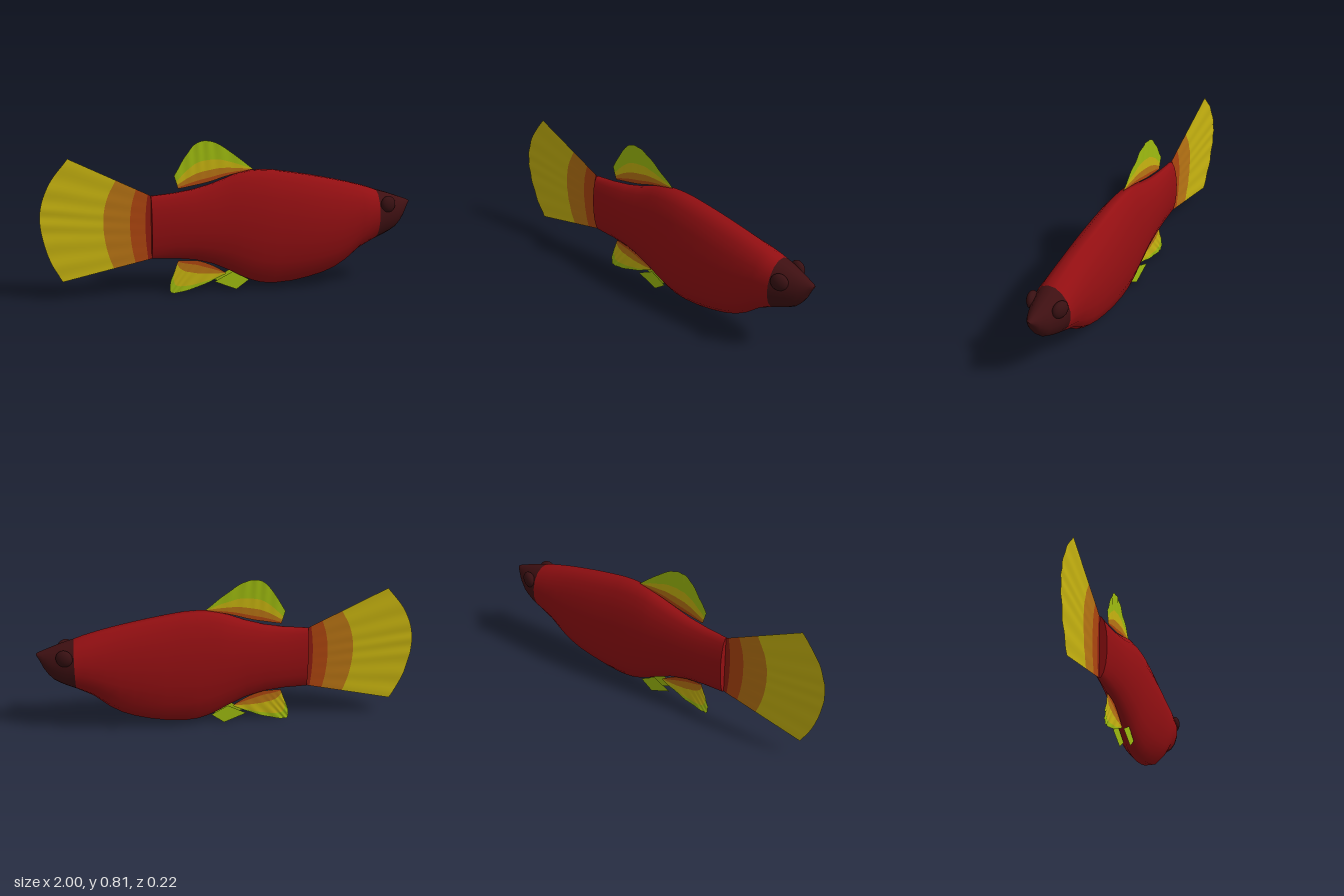
import * as THREE from 'three';

const paint = (name, color, side = THREE.FrontSide) => {
  const m = new THREE.MeshStandardMaterial({ color, side });
  m.name = name;
  return m;
};

const SIDES = 16;

// Closed oval rings [x, top, bottom, halfWidth] joined along x
function loft(rings) {
  const pos = [], idx = [];
  rings.forEach(([x, top, bottom, w], i) => {
    for (let j = 0; j < SIDES; j++) {
      const a = ((j + 0.5) / SIDES) * Math.PI * 2;
      pos.push(x, (top + bottom) / 2 + ((top - bottom) / 2) * Math.cos(a) / 0.98, w * Math.sin(a));
      if (i === rings.length - 1) continue;
      const k = (j + 1) % SIDES, p = i * SIDES, q = p + SIDES;
      idx.push(p + j, p + k, q + j, p + k, q + k, q + j);
    }
  });
  const g = new THREE.BufferGeometry();
  g.setAttribute('position', new THREE.Float32BufferAttribute(pos, 3));
  g.setIndex(idx);
  g.computeVertexNormals();
  return g;
}

// Flat oval that closes a ring, facing along dir on x
function capFor([x, top, bottom, w], dir) {
  const g = new THREE.CircleGeometry(1, SIDES, Math.PI / SIDES);
  g.rotateY(dir * Math.PI / 2);
  g.scale(1, (top - bottom) / 2 / 0.98, w);
  g.translate(x, (top + bottom) / 2, 0);
  return g;
}

// Thin rippled sheet between a root curve and a tip curve, from fraction f0 to f1
function finBand(root, tip, f0, f1) {
  const curve = pts => new THREE.CatmullRomCurve3(pts.map(p => new THREE.Vector3(p[0], p[1], 0)));
  const r = curve(root), t = curve(tip), U = 36, V = 4;
  const g = new THREE.PlaneGeometry(1, 1, U, V);
  const p = g.attributes.position, v = new THREE.Vector3();
  for (let i = 0; i < p.count; i++) {
    const u = p.getX(i) + 0.5, f = f0 + (f1 - f0) * (p.getY(i) + 0.5);
    v.lerpVectors(r.getPoint(u), t.getPoint(u), f);
    p.setXYZ(i, v.x, v.y, 0.002 * f * Math.sin(u * Math.PI * 12));
  }
  g.computeVertexNormals();
  return g;
}

export function createModel() {
  const fish = new THREE.Group();
  fish.name = 'fish';
  const red = paint('body red', 0x930f12);
  const dark = paint('head dark maroon', 0x3f1012);
  const eyeDark = paint('eye dark', 0x381012);
  const D = THREE.DoubleSide;
  const crimson = paint('fin crimson', 0x8e1c10, D);
  const rust = paint('fin rust', 0xae460f, D);
  const orange = paint('fin orange', 0xb87414, D);
  const yellow = paint('fin yellow', 0xc8b410, D);
  const green = paint('fin green', 0x9fbc10, D);

  const add = (name, geo, mat, parent = fish) => {
    const m = new THREE.Mesh(geo, mat);
    m.name = name;
    parent.add(m);
    return m;
  };

  // Body
  const body = [
    [-0.43, 0.533, 0.2, 0.04], [-0.31, 0.543, 0.196, 0.053], [-0.2, 0.56, 0.183, 0.065],
    [-0.1, 0.587, 0.155, 0.075], [0, 0.624, 0.108, 0.085], [0.05, 0.64, 0.08, 0.09],
    [0.1, 0.648, 0.057, 0.095], [0.16, 0.65, 0.038, 0.101], [0.23, 0.646, 0.031, 0.106],
    [0.33, 0.63, 0.037, 0.112], [0.42, 0.614, 0.053, 0.114], [0.5, 0.598, 0.073, 0.113],
    [0.57, 0.583, 0.1, 0.111], [0.635, 0.568, 0.14, 0.108], [0.71, 0.548, 0.203, 0.106],
    [0.76, 0.533, 0.23, 0.104], [0.8, 0.518, 0.25, 0.101],
  ];
  add('body', loft(body), red);
  add('tailStump', capFor(body[0], -1), red);

  // Head and snout
  const head = [
    [0.8, 0.518, 0.25, 0.101], [0.84, 0.507, 0.266, 0.091], [0.88, 0.494, 0.284, 0.077],
    [0.915, 0.482, 0.305, 0.064], [0.94, 0.473, 0.333, 0.051], [0.962, 0.465, 0.367, 0.037],
    [0.985, 0.457, 0.42, 0.02], [0.998, 0.45, 0.442, 0.008],
  ];
  add('head', loft(head), dark);
  add('mouth', capFor(head[head.length - 1], 1), dark);

  // Eyes
  for (const s of [1, -1]) {
    const eye = add(s > 0 ? 'rightEye' : 'leftEye', new THREE.SphereGeometry(0.045, 20, 12), eyeDark);
    eye.scale.z = 0.6;
    eye.position.set(0.85, 0.447, s * 0.077);
    eye.rotation.y = s * 0.3;
  }

  // Banded fins: root curve, tip curve, then [end fraction, material] outward
  const fins = {
    tailFin: [
      [[-0.42, 0.53], [-0.425, 0.42], [-0.425, 0.31], [-0.42, 0.2]],
      [[-0.85, 0.742], [-0.945, 0.62], [-0.99, 0.51], [-1, 0.43], [-0.99, 0.34], [-0.955, 0.215], [-0.895, 0.1]],
      [[0.06, crimson], [0.2, rust], [0.44, orange], [1, yellow]],
    ],
    dorsalFin: [
      [[-0.286, 0.565], [-0.2, 0.58], [-0.125, 0.595], [-0.02, 0.625], [0.115, 0.655]],
      [[-0.307, 0.634], [-0.243, 0.74], [-0.19, 0.8], [-0.14, 0.813], [-0.083, 0.8], [0.008, 0.74], [0.115, 0.656]],
      [[0.1, rust], [0.28, orange], [0.53, yellow], [1, green]],
    ],
    analFin: [
      [[-0.29, 0.18], [-0.235, 0.178], [-0.18, 0.172], [-0.1, 0.14], [-0.035, 0.1]],
      [[-0.31, 0.125], [-0.335, 0.05], [-0.33, 0.006], [-0.3, 0.002], [-0.18, 0.03], [-0.035, 0.09]],
      [[0.12, rust], [0.35, orange], [0.78, yellow], [1, green]],
    ],
  };
  for (const [name, [root, tip, bands]] of Object.entries(fins)) {
    const fin = new THREE.Group();
    fin.name = name;
    fish.add(fin);
    let from = 0;
    bands.forEach(([to, mat], i) => {
      add(name + 'Band' + (i + 1), finBand(root, tip, from, to), mat, fin);
      from = to;
    });
  }

  // Paired belly fins
  const leaf = new THREE.Shape([[-0.1, 0.06], [0.02, 0.01], [0.09, 0.06], [0, 0.11]]
    .map(p => new THREE.Vector2(...p)));
  for (const s of [1, -1]) {
    const fin = add(s > 0 ? 'rightBellyFin' : 'leftBellyFin', new THREE.ShapeGeometry(leaf), green);
    fin.position.z = s * 0.028;
  }
  return fish;
}
